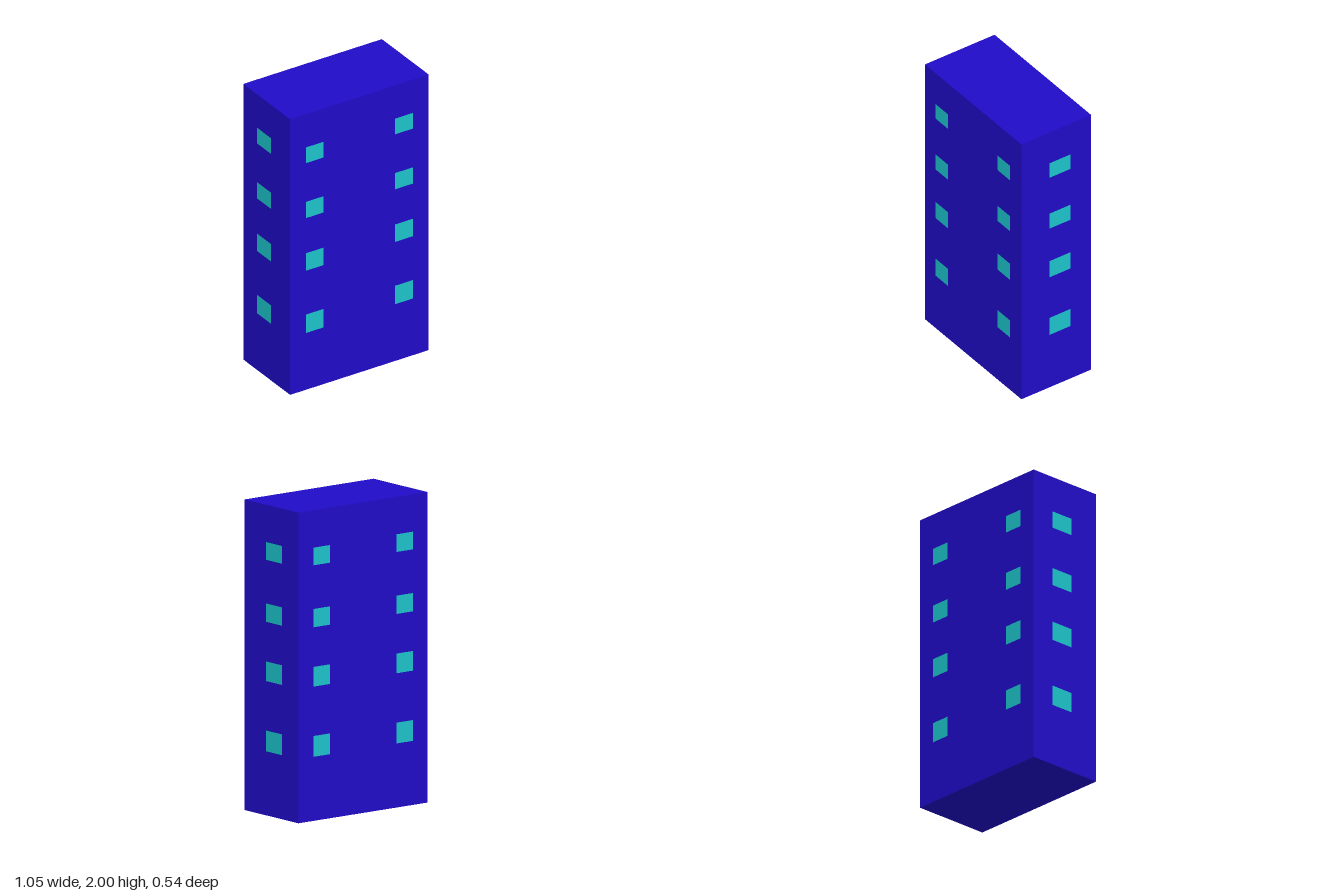
import * as THREE from 'three';

const W = 1.045, H = 2, D = 0.54;
const PROUD = 0.002; // how far the panes stand off the walls

export function createModel() {
  const model = new THREE.Group();
  model.name = 'towerBlock';
  const wall = new THREE.MeshStandardMaterial({ color: 0x200bc8 });
  const glass = new THREE.MeshStandardMaterial({ color: 0x1cc4cb });

  // Main block
  const block = new THREE.Mesh(new THREE.BoxGeometry(W, H, D), wall);
  block.name = 'building';
  block.position.y = H / 2;
  model.add(block);

  // A flat pane turned to face outward from its wall
  function addPane(name, width, height, x, y, z, turn) {
    const pane = new THREE.Mesh(new THREE.PlaneGeometry(width, height), glass);
    pane.name = name;
    pane.position.set(x, y, z);
    pane.rotation.y = turn;
    model.add(pane);
  }

  // Bottom and top of the windows on each storey
  const storeys = [[0.413, 0.547], [0.865, 0.992], [1.247, 1.365], [1.646, 1.76]];
  for (const [bottom, top] of storeys) {
    const y = (bottom + top) / 2, h = top - bottom;
    // Two windows on the front and back walls
    for (const x of [-0.338, 0.335]) {
      addPane('frontWindow', 0.135, h, x, y, D / 2 + PROUD, 0);
      addPane('backWindow', 0.135, h, x, y, -D / 2 - PROUD, Math.PI);
    }
    // One window on each side wall, a little behind the middle
    addPane('leftWindow', 0.163, h, W / 2 + PROUD, y, -0.027, Math.PI / 2);
    addPane('rightWindow', 0.163, h, -W / 2 - PROUD, y, -0.027, -Math.PI / 2);
  }
  return model;
}
